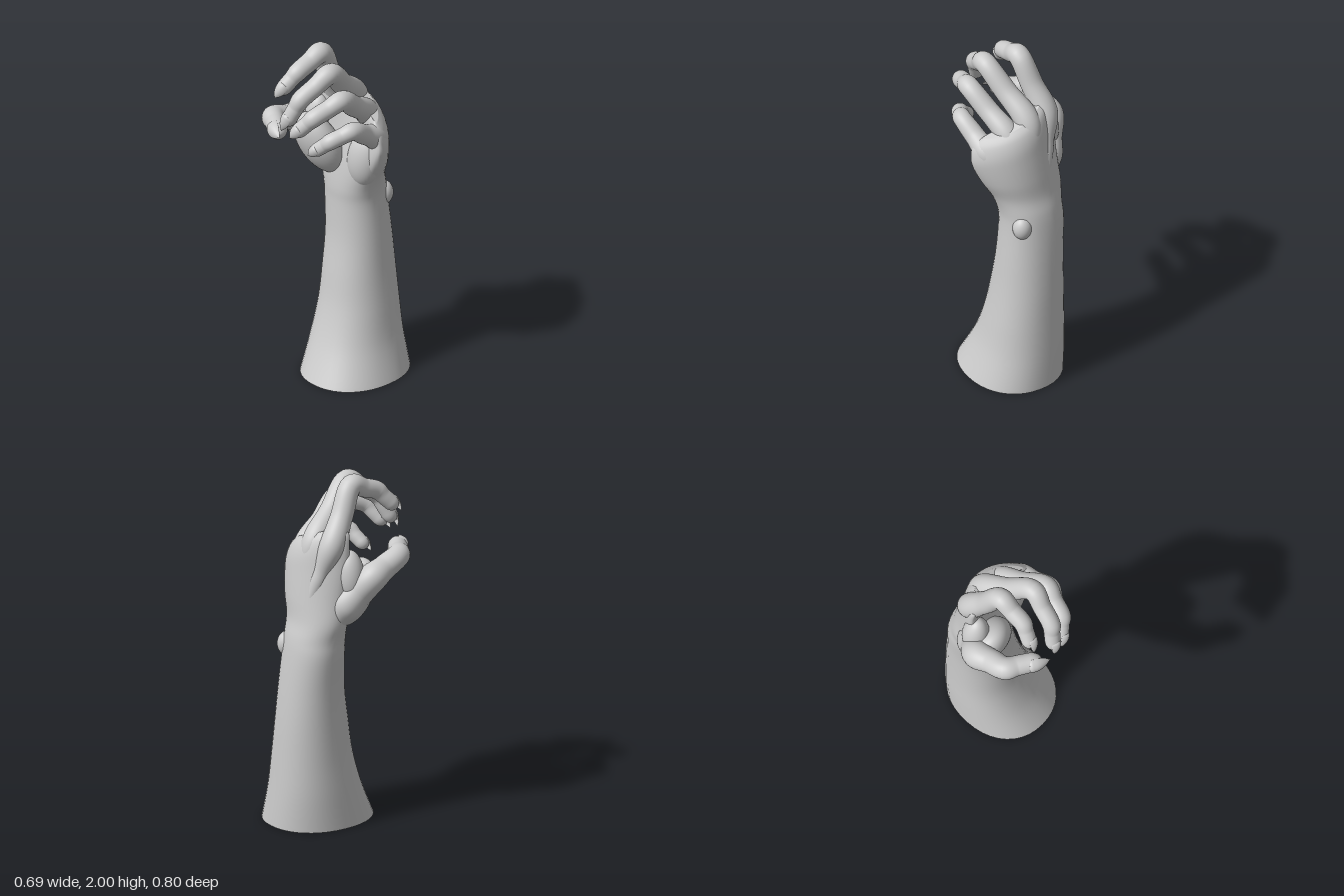
import * as THREE from 'three';

const V = (x, y, z) => new THREE.Vector3(x, y, z);
const SIDES = 40;
const material = new THREE.MeshStandardMaterial({ color: 0xcccccc });

// Closed skin over a list of rings, each with SIDES points; both ends are capped.
function loft(name, rings) {
  const pos = [], index = [];
  for (const ring of rings) for (const p of ring) pos.push(p.x, p.y, p.z);
  const id = (i, j) => i * SIDES + (j % SIDES);
  for (let i = 0; i < rings.length - 1; i++) {
    for (let j = 0; j < SIDES; j++) {
      index.push(id(i, j), id(i, j + 1), id(i + 1, j + 1));
      index.push(id(i, j), id(i + 1, j + 1), id(i + 1, j));
    }
  }
  const last = rings.length - 1;
  for (const i of [0, last]) {
    const c = rings[i].reduce((s, p) => s.add(p), V(0, 0, 0)).divideScalar(SIDES);
    const k = pos.length / 3;
    pos.push(c.x, c.y, c.z);
    for (let j = 0; j < SIDES; j++) {
      if (i === 0) index.push(k, id(i, j + 1), id(i, j));
      else index.push(k, id(i, j), id(i, j + 1));
    }
  }
  const geo = new THREE.BufferGeometry();
  geo.setAttribute('position', new THREE.Float32BufferAttribute(pos, 3));
  geo.setIndex(index);
  geo.computeVertexNormals();
  const mesh = new THREE.Mesh(geo, material);
  mesh.name = name;
  return mesh;
}

const ringOf = (f) => Array.from({ length: SIDES }, (_, j) => f((j / SIDES) * Math.PI * 2));

// Smooth interpolation between rows of numbers
function rowAt(rows, t) {
  const i = Math.min(Math.floor(t), rows.length - 2), f = t - i;
  const at = (k) => rows[THREE.MathUtils.clamp(k, 0, rows.length - 1)];
  return rows[i].map((b, n) => {
    const a = at(i - 1)[n], c = at(i + 1)[n], d = at(i + 2)[n];
    return b + 0.5 * f * (c - a + f * (2 * a - 5 * b + 4 * c - d + f * (3 * (b - c) + d - a)));
  });
}

// Forearm and palm: height, left/right x, back/front z, knuckle tilt, cupping
function forearmAndPalm() {
  const rows = [
    [0.00, -0.20, 0.345, -0.395, 0.225, 0, 0],
    [0.20, -0.195, 0.275, -0.385, 0.13, 0, 0],
    [0.40, -0.185, 0.235, -0.375, 0.065, 0, 0],
    [0.60, -0.18, 0.205, -0.365, 0.03, 0, 0],
    [0.80, -0.18, 0.185, -0.35, 0.0, 0, 0],
    [1.00, -0.19, 0.17, -0.33, -0.01, 0, 0],
    [1.10, -0.19, 0.175, -0.315, -0.01, 0, 0.01],
    [1.20, -0.205, 0.205, -0.29, -0.02, 0.03, 0.03],
    [1.32, -0.20, 0.26, -0.28, -0.04, 0.12, 0.06],
    [1.45, -0.20, 0.30, -0.265, -0.07, 0.25, 0.09],
    [1.55, -0.195, 0.31, -0.25, -0.09, 0.38, 0.10],
    [1.62, -0.18, 0.295, -0.225, -0.10, 0.42, 0.10],
    [1.66, -0.13, 0.24, -0.19, -0.12, 0.42, 0.07],
  ];
  const soft = (v) => Math.sign(v) * Math.abs(v) ** 0.92;
  const rings = [];
  for (let s = 0; s <= (rows.length - 1) * 6; s++) {
    const [y, x0, x1, zb, zf, tilt, cup] = rowAt(rows, s / 6);
    rings.push(ringOf((a) => {
      const c = soft(Math.cos(a)), dx = (c * (x1 - x0)) / 2;
      const z = (zb + zf) / 2 - (soft(Math.sin(a)) * (zf - zb)) / 2;
      return V((x0 + x1) / 2 + dx, y - tilt * dx, z + cup * c * c);
    }));
  }
  rings.unshift(rings[0]); // sharp rim at the cut end
  return loft('forearmAndPalm', rings);
}

// Round flesh along a path of [x, y, z, radius]; the last stretch closes as a dome
function flesh(name, joints) {
  const rows = [];
  joints.forEach((p, i) => {
    rows.push(p);
    // slimmer middle of each bone
    if (i < joints.length - 2) {
      const q = joints[i + 1];
      rows.push(p.map((v, n) => ((v + q[n]) / 2) * (n === 3 ? 0.95 : 1)));
    }
  });
  const curve = new THREE.CatmullRomCurve3(rows.map((p) => V(p[0], p[1], p[2])), false, 'centripetal');
  const n = V(1, 0, 0.01), rings = [], seg = rows.length - 1, steps = seg * 8;
  for (let s = 0; s <= steps; s++) {
    const u = s / steps, t = Math.min(u * seg, seg), i = Math.min(Math.floor(t), seg - 1), f = t - i;
    const c = curve.getPoint(u), dir = curve.getTangent(u);
    n.addScaledVector(dir, -n.dot(dir)).normalize();
    const b = dir.clone().cross(n);
    const r = i === seg - 1
      ? rows[i][3] * Math.sqrt(Math.max(1 - f * f, 0.0004))
      : THREE.MathUtils.lerp(rows[i][3], rows[i + 1][3], f * f * (3 - 2 * f));
    rings.push(ringOf((a) => c.clone()
      .addScaledVector(n, r * Math.cos(a)).addScaledVector(b, r * Math.sin(a))));
  }
  return loft(name, rings);
}

// Long pointed nail on the outer side of the last bone
function nail(name, before, joint, tip, r) {
  const dir = tip.clone().sub(joint), len = dir.length();
  dir.normalize();
  const up = joint.clone().sub(before);
  up.addScaledVector(dir, -up.dot(dir)).normalize();
  const side = up.clone().cross(dir);
  const widths = [[0.35], [0.75], [0.8], [0.76], [0.62], [0.38], [0.04]];
  const rings = [];
  for (let s = 0; s <= 24; s++) {
    const f = s / 24, w = r * rowAt(widths, f * 6)[0];
    const c = joint.clone().addScaledVector(dir, len * (0.46 + 0.54 * f))
      .addScaledVector(up, r * (0.64 - 0.5 * f * f));
    rings.push(ringOf((a) => c.clone().addScaledVector(side, w * Math.cos(a))
      .addScaledVector(up, 0.2 * w * Math.sin(a) + 0.45 * w * Math.sin(a) ** 2)));
  }
  return loft(name, rings);
}

// Digit: joints of [x, y, z, radius] followed by the point of the nail
function digit(name, joints, tipAt) {
  const group = new THREE.Group();
  group.name = name;
  const end = joints[joints.length - 1], prev = joints[joints.length - 2];
  const joint = V(...end.slice(0, 3)), tip = V(...tipAt);
  const pad = joint.clone().lerp(tip, 0.55), cap = joint.clone().lerp(tip, 0.84);
  const r = end[3] * 0.86;
  group.add(flesh(name + 'Flesh', [...joints, [pad.x, pad.y, pad.z, r], [cap.x, cap.y, cap.z, 0]]));
  group.add(nail(name + 'Nail', V(...prev.slice(0, 3)), joint, tip, r));
  return group;
}

// Soft muscle or bone swelling
function swelling(name, at, radii, rot = [0, 0, 0]) {
  const mesh = new THREE.Mesh(new THREE.SphereGeometry(1, 40, 28), material);
  mesh.name = name;
  mesh.position.set(...at);
  mesh.scale.set(...radii);
  mesh.rotation.set(...rot);
  return mesh;
}

export function createModel() {
  const model = new THREE.Group();
  model.name = 'hand';
  model.add(forearmAndPalm());

  // Fingers start as tendon ridges on the back of the hand
  model.add(digit('indexFinger', [[-0.06, 1.3, -0.235, 0.03], [-0.125, 1.64, -0.125, 0.072],
    [-0.065, 1.938, 0.045, 0.06], [-0.07, 1.875, 0.21, 0.051]], [-0.12, 1.74, 0.335]));
  model.add(digit('middleFinger', [[0.0, 1.3, -0.25, 0.03], [0.0, 1.64, -0.15, 0.072],
    [0.1, 1.9, 0.13, 0.058], [0.055, 1.785, 0.305, 0.051]], [-0.01, 1.6, 0.385]));
  model.add(digit('ringFinger', [[0.06, 1.3, -0.245, 0.03], [0.115, 1.58, -0.13, 0.068],
    [0.2, 1.775, 0.135, 0.056], [0.15, 1.705, 0.295, 0.05]], [0.05, 1.575, 0.38]));
  model.add(digit('littleFinger', [[0.11, 1.28, -0.23, 0.03], [0.225, 1.48, -0.09, 0.068],
    [0.26, 1.6, 0.11, 0.05], [0.205, 1.555, 0.22, 0.046]], [0.09, 1.45, 0.28]));
  model.add(digit('thumb', [[-0.09, 1.16, -0.14, 0.07], [-0.17, 1.3, -0.06, 0.095],
    [-0.262, 1.46, 0.05, 0.08], [-0.238, 1.54, 0.235, 0.064]], [-0.03, 1.54, 0.375]));

  // Muscle pads of the palm, web of the thumb and wrist bone
  model.add(swelling('thumbMuscle', [-0.125, 1.345, 0.0], [0.145, 0.205, 0.1], [0.42, 0, 0.2]));
  model.add(swelling('thumbWeb', [-0.18, 1.47, -0.04], [0.075, 0.14, 0.075], [0, 0, -0.15]));
  model.add(swelling('heelOfPalm', [0.14, 1.31, -0.09], [0.105, 0.17, 0.08], [0, 0, -0.2]));
  model.add(swelling('wristBone', [0.105, 1.03, -0.265], [0.055, 0.07, 0.055]));
  return model;
}
